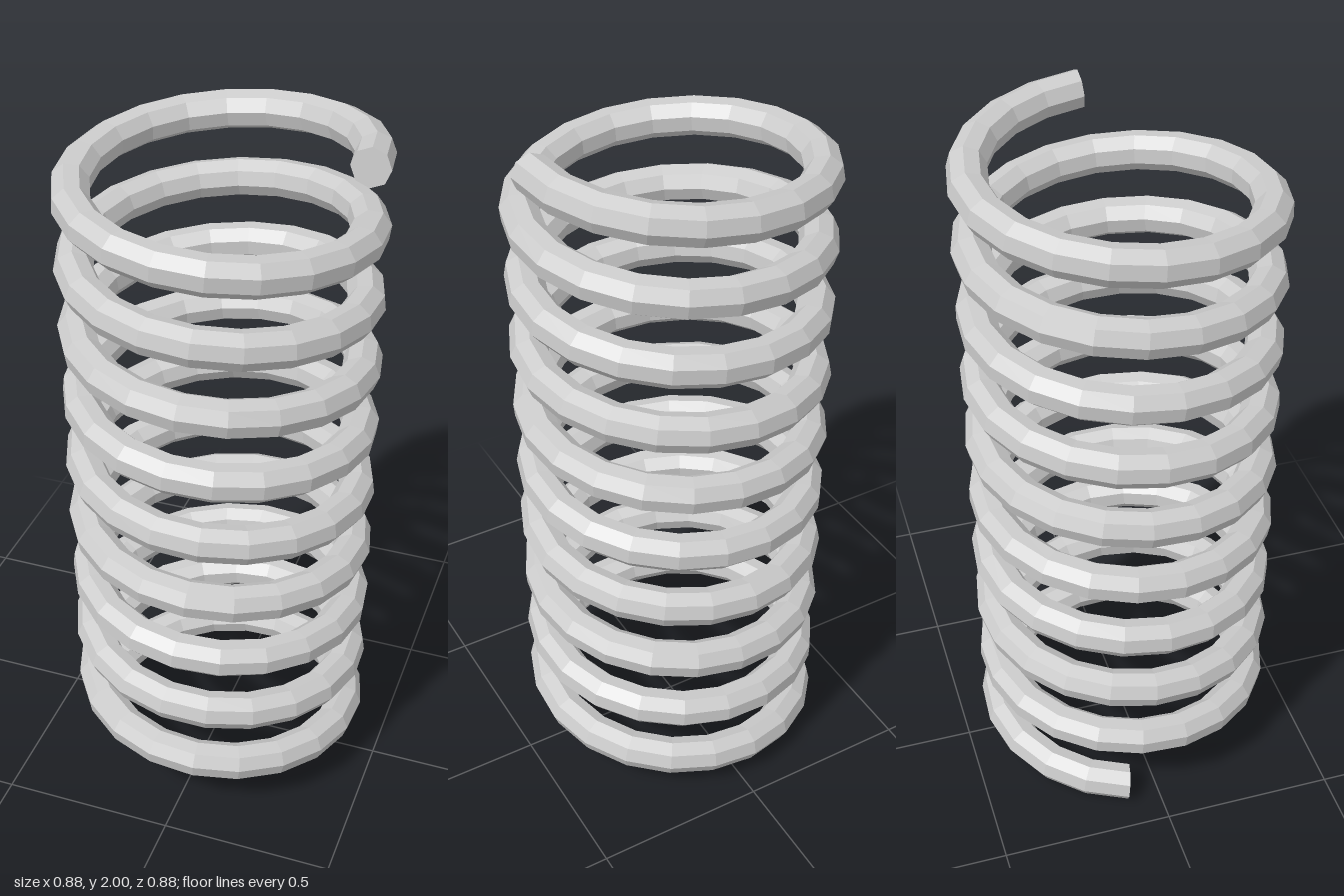
import * as THREE from 'three';

const COIL_RADIUS = 0.388;
const WIRE_RADIUS = 0.053;
const PITCH = 0.2003;
const TURNS = 9.463;
const TOP_Y = 1.948;
const SIDES = 8;
const STEPS = Math.round(TURNS * 20.3);

// Helix running from the top end down to the bottom end
class Helix extends THREE.Curve {
  getPoint(t, target = new THREE.Vector3()) {
    const turn = t * TURNS;
    const a = turn * Math.PI * 2;
    return target.set(COIL_RADIUS * Math.cos(a), TOP_Y - PITCH * turn, -COIL_RADIUS * Math.sin(a));
  }
}

// Flat cap filling one end ring of the wire
function endCap(tube, center, step, reverse) {
  const pos = tube.attributes.position;
  const corner = (j) => new THREE.Vector3().fromBufferAttribute(pos, step * (SIDES + 1) + j);
  const points = [];
  for (let j = 0; j < SIDES; j++) {
    const a = corner(j), b = corner(j + 1);
    points.push(center, ...(reverse ? [b, a] : [a, b]));
  }
  const cap = new THREE.BufferGeometry().setFromPoints(points);
  cap.computeVertexNormals();
  return cap;
}

export function createModel() {
  const group = new THREE.Group();
  group.name = 'coilSpring';
  const material = new THREE.MeshStandardMaterial({ color: 0xcccccc, flatShading: true });
  const add = (name, geometry) => {
    const mesh = new THREE.Mesh(geometry, material);
    mesh.name = name;
    group.add(mesh);
  };

  // Coiled wire
  const helix = new Helix();
  const wire = new THREE.TubeGeometry(helix, STEPS, WIRE_RADIUS, SIDES, false);
  add('coilWire', wire);

  // Cut ends
  add('topEnd', endCap(wire, helix.getPoint(0), 0, false));
  add('bottomEnd', endCap(wire, helix.getPoint(1), STEPS, true));

  return group;
}
